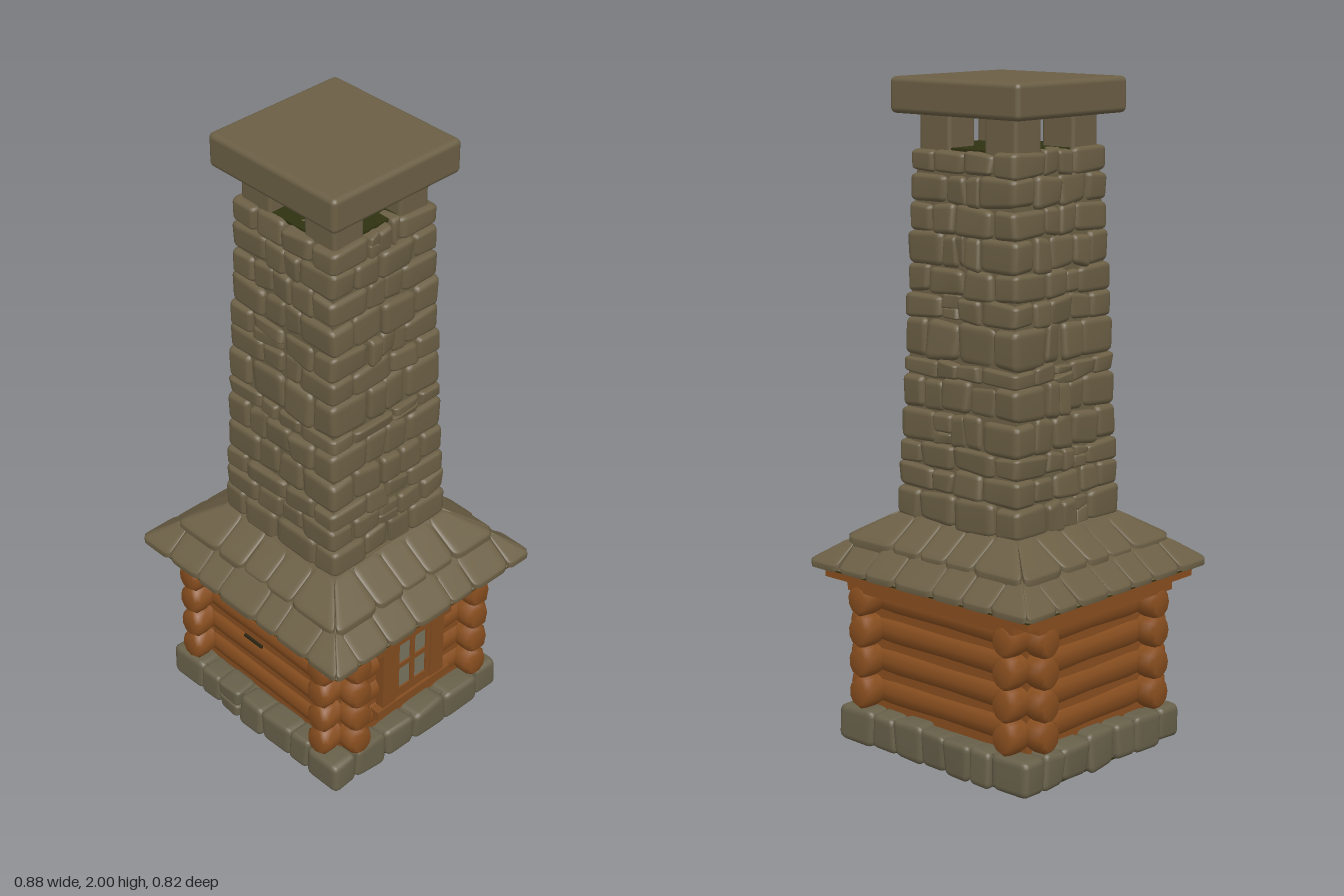
import * as THREE from 'three';
import { mergeGeometries, mergeVertices } from 'three/addons/utils/BufferGeometryUtils.js';
import { RoundedBoxGeometry } from 'three/addons/geometries/RoundedBoxGeometry.js';

const mat = (name, color) => {
  const m = new THREE.MeshStandardMaterial({ color });
  m.name = name;
  return m;
};

export function createModel() {
  const stone = mat('stone', 0x6b5f45), baseStone = mat('base stone', 0x67604a);
  const wood = mat('log wood', 0x884e1f), trim = mat('window wood', 0x834c20);
  const glass = mat('window glass', 0x77735f), dark = mat('dark gap', 0x2a2413);
  const moss = mat('dark moss', 0x303212);
  const model = new THREE.Group();
  model.name = 'stoneChimneyHut';

  let seed = 7;
  const rnd = () => (seed = (seed * 16807) % 2147483647) / 2147483647;
  const jit = (a) => (rnd() * 2 - 1) * a;

  const add = (name, geometry, material, parent = model) => {
    const mesh = new THREE.Mesh(geometry, material);
    mesh.name = name;
    parent.add(mesh);
  };
  const box = (w, h, d, x, y, z) => new THREE.BoxGeometry(w, h, d).translate(x, y, z);

  // Pillow-shaped unit block, bent to fit any eight corners
  const pillow = new RoundedBoxGeometry(1, 1, 1, 2, 0.19);
  pillow.deleteAttribute('uv');
  pillow.deleteAttribute('normal');
  const unit = mergeVertices(pillow, 1e-4);
  // corners are indexed by x + 2 * y + 4 * z (0 = low side, 1 = high side)
  function block(c) {
    const g = unit.clone(), p = g.attributes.position;
    const v = new THREE.Vector3();
    for (let i = 0; i < p.count; i++) {
      const t = [p.getX(i) + 0.5, p.getY(i) + 0.5, p.getZ(i) + 0.5];
      v.set(0, 0, 0);
      c.forEach((q, k) => {
        const w = (k & 1 ? t[0] : 1 - t[0]) * (k & 2 ? t[1] : 1 - t[1]) * (k & 4 ? t[2] : 1 - t[2]);
        v.addScaledVector(q, w);
      });
      p.setXYZ(i, v.x, v.y, v.z);
    }
    g.computeVertexNormals();
    return g;
  }
  const corners = (f) => [0, 1, 2, 3, 4, 5, 6, 7].map((k) => f(k & 1, (k >> 1) & 1, k >> 2));
  const rock = (x, y, z, jx, jy) => block(corners((i, j, k) =>
    new THREE.Vector3(x[i] + jit(jx), y[j] + jit(jy), z[k] + jit(jx))));

  // Uneven cuts between a and b
  const cuts = (a, b, n) => Array.from({ length: n + 1 }, (_, i) =>
    a + (b - a) * i / n + (i % n ? jit((b - a) * 0.2 / n) : 0));

  // One course of stones round a rectangle, corner stones alternating
  function course(list, hx, hz, y0, y1, row, n, jy) {
    const cx = row % 2 ? 0.14 : 0.09, cz = row % 2 ? 0.09 : 0.14, depth = 0.08;
    const order = (s, a, b) => (s > 0 ? [a, b] : [-b, -a]);
    for (const s of [-1, 1]) {
      for (const t of [-1, 1]) {
        list.push(rock(order(s, hx - cx, hx), [y0, y1], order(t, hz - cz, hz), 0.005, jy * 0.7));
      }
      for (const alongX of [true, false]) {
        const half = alongX ? hx - cx : hz - cz;
        const u = cuts(-half, half, n + (rnd() > 0.7 ? 1 : 0));
        for (let i = 0; i + 1 < u.length; i++) {
          const out = order(s, (alongX ? hz : hx) - depth, (alongX ? hz : hx) + jit(0.006));
          const span = [u[i], u[i + 1]];
          const mid = y0 + (y1 - y0) * (0.4 + rnd() * 0.2);
          const ys = rnd() < 0.1 ? [[y0, mid], [mid, y1]] : [[y0, y1]];
          for (const y of ys) {
            list.push(alongX ? rock(span, y, out, 0.008, jy) : rock(out, y, span, 0.008, jy));
          }
        }
      }
    }
  }

  // Four-sided tapered core
  function frustum(bx, bz, tx, tz, y0, y1) {
    const g = new THREE.BoxGeometry(2, 1, 2), p = g.attributes.position;
    for (let i = 0; i < p.count; i++) {
      const up = p.getY(i) > 0;
      p.setXYZ(i, p.getX(i) * (up ? tx : bx), up ? y1 : y0, p.getZ(i) * (up ? tz : bz));
    }
    g.computeVertexNormals();
    return g;
  }

  // Foundation, dark underneath
  const base = [];
  course(base, 0.38, 0.352, 0.008, 0.118, 1, 4, 0.008);
  add('foundationStones', mergeGeometries(base), baseStone);
  add('foundationCore', box(0.72, 0.09, 0.66, 0, 0.065, 0), baseStone);
  add('foundationUnderside', box(0.71, 0.008, 0.65, 0, 0.012, 0), moss);

  // Log walls: crossing logs with blunt ends
  function log(half) {
    const r = 0.044;
    const pts = [[0, -half], [r * 0.75, -half], [r, -half + 0.014], [r * 1.02, -half + 0.05],
      [r * 0.92, -half + 0.075], [r, -half * 0.5], [r * 0.95, 0]];
    const mirror = pts.slice(0, -1).reverse().map(([a, b]) => [a, -b]);
    return new THREE.LatheGeometry([...pts, ...mirror].map(([a, b]) => new THREE.Vector2(a, b)), 10);
  }
  const logs = [];
  for (const y of [0.172, 0.267, 0.364, 0.458]) {
    for (const s of [-1, 1]) {
      const tilt = jit(0.008);
      logs.push(log(0.388).rotateZ(Math.PI / 2 + tilt).scale(1, 1.16, 1).translate(0, y, s * 0.25));
      logs.push(log(0.355).rotateX(Math.PI / 2 + tilt).scale(1, 1.16, 1).translate(s * 0.29, y, 0));
    }
  }
  add('wallLogs', mergeGeometries(logs), wood);
  add('wallCore', box(0.636, 0.43, 0.556, 0, 0.325, 0), wood);
  add('wallPlate', mergeGeometries([
    box(0.77, 0.035, 0.60, 0, 0.505, 0), box(0.66, 0.035, 0.70, 0, 0.505, 0),
    box(0.81, 0.037, 0.74, 0, 0.538, 0)]), wood);
  add('logCrack', box(0.08, 0.008, 0.008, -0.065, 0.302, 0.284), dark);

  // Window on the left wall
  const win = new THREE.Group();
  win.name = 'window';
  model.add(win);
  add('windowFrame', mergeGeometries([
    box(0.05, 0.035, 0.31, 0.33, 0.447, 0), box(0.05, 0.032, 0.31, 0.33, 0.188, 0),
    ...[-1, 1].map((s) => box(0.04, 0.23, 0.055, 0.33, 0.317, s * 0.102))]), trim, win);
  add('windowBars', mergeGeometries([
    box(0.016, 0.23, 0.018, 0.337, 0.317, 0), box(0.016, 0.018, 0.15, 0.337, 0.328, 0),
    box(0.016, 0.022, 0.15, 0.337, 0.425, 0), box(0.016, 0.036, 0.15, 0.337, 0.22, 0),
    ...[-1, 1].map((s) => box(0.016, 0.23, 0.02, 0.337, 0.317, s * 0.067))]), trim, win);
  add('windowGlass', box(0.006, 0.22, 0.14, 0.337, 0.317, 0), glass, win);

  // Stone roof: two tiers of slabs on each slope
  const tiles = [];
  const tiers = [
    { o: [0.437, 0.407, 0.572], i: [0.345, 0.325, 0.638], n: 7, t: 0.022 },
    { o: [0.355, 0.335, 0.646], i: [0.235, 0.225, 0.722], n: 5, t: 0.03 }];
  for (const { o, i, n, t } of tiers) {
    for (let side = 0; side < 4; side++) {
      const a = side % 2, b = 1 - a;
      const u = cuts(-o[a], o[a], n);
      if (n === 5) [-0.16, -0.05, 0.05, 0.16].forEach((x, k) => { u[k + 1] = x; });
      for (let k = 0; k < n; k++) {
        const lift = jit(0.004);
        tiles.push(block(corners((x, y, z) => {
          const e = u[k + x];
          const across = z ? e : Math.max(-i[a], Math.min(i[a], e));
          const h = (z ? o[2] : i[2]) + (y ? lift : -t);
          const out = z ? o[b] + lift : i[b];
          return new THREE.Vector3(across, h, out)
            .applyAxisAngle(new THREE.Vector3(0, 1, 0), side * Math.PI / 2);
        })));
      }
    }
  }
  add('roofSlabs', mergeGeometries(tiles), stone);
  add('roofCore', mergeGeometries([
    frustum(0.43, 0.4, 0.345, 0.325, 0.558, 0.636),
    frustum(0.35, 0.33, 0.237, 0.227, 0.63, 0.719)]), stone);
  add('roofUnderside', box(0.856, 0.006, 0.796, 0, 0.555, 0), moss);

  // Tapering chimney stack
  const stack = [], rows = 13, low = 0.71, high = 1.8;
  const ys = cuts(low, high, rows);
  for (let r = 0; r < rows; r++) {
    const f = (ys[r] + ys[r + 1] - 2 * low) / (2 * (high - low));
    course(stack, 0.241 - 0.041 * f, 0.233 - 0.035 * f, ys[r], ys[r + 1], r, 2, 0.011);
  }
  add('chimneyStones', mergeGeometries(stack), stone);
  add('chimneyCore', frustum(0.226, 0.218, 0.186, 0.183, 0.68, 1.785), stone);

  // Corner posts and capstone
  const posts = [];
  for (const x of [-1, 1]) for (const z of [-1, 1]) {
    posts.push(new RoundedBoxGeometry(0.12, 0.15, 0.11, 2, 0.012)
      .translate(x * 0.126, 1.845, z * 0.122));
  }
  add('ventPosts', mergeGeometries(posts), stone);
  add('flueOpening', box(0.35, 0.008, 0.34, 0, 1.799, 0), moss);
  add('ventCeiling', box(0.35, 0.006, 0.34, 0, 1.894, 0), moss);
  add('capstone', new RoundedBoxGeometry(0.494, 0.104, 0.472, 3, 0.016)
    .translate(0, 1.948, 0), stone);
  return model;
}
